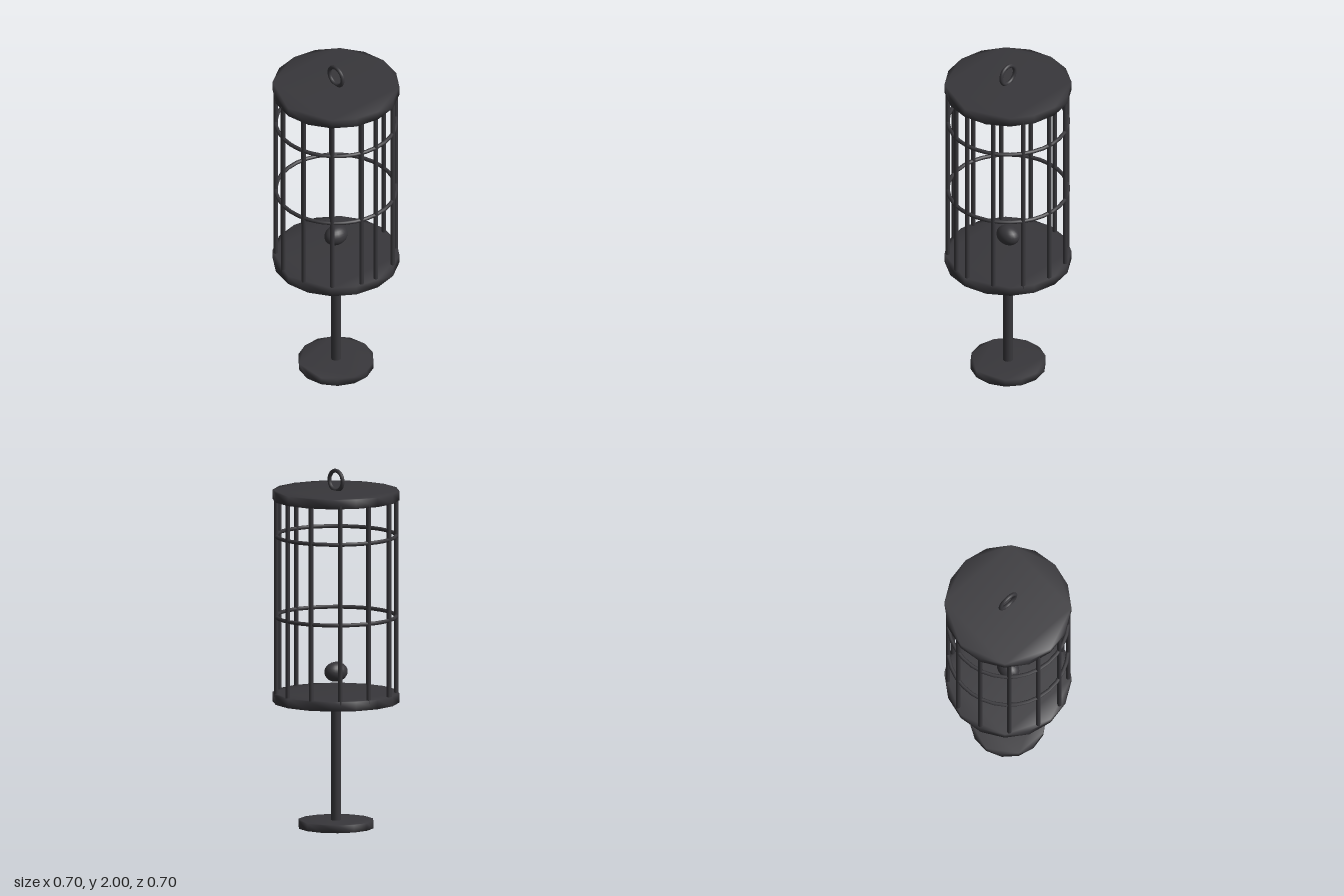
import * as THREE from 'three';
import { mergeVertices } from 'three/addons/utils/BufferGeometryUtils.js';

export function createModel() {
  const model = new THREE.Group();
  model.name = 'birdcage';
  const material = new THREE.MeshStandardMaterial({ color: 0x38373b });

  function add(name, geometry, x = 0, y = 0, z = 0, parent = model) {
    const mesh = new THREE.Mesh(geometry, material);
    mesh.name = name;
    mesh.position.set(x, y, z);
    parent.add(mesh);
    return mesh;
  }

  // Polygonal plate whose normals are shared between caps and rim
  function plate(radius, height, sides) {
    const points = Array.from({ length: sides }, (_, i) => {
      const a = Math.PI / 2 + (i / sides) * Math.PI * 2;
      return new THREE.Vector2(Math.cos(a) * radius, Math.sin(a) * radius);
    });
    let geometry = new THREE.ExtrudeGeometry(new THREE.Shape(points), { depth: height, bevelEnabled: false });
    geometry.deleteAttribute('uv');
    geometry.deleteAttribute('normal');
    geometry = mergeVertices(geometry, 1e-4);
    geometry.rotateX(-Math.PI / 2);
    geometry.computeVertexNormals();
    return geometry;
  }

  // Stand
  add('base', plate(0.21, 0.042, 14), 0, 0, 0);
  add('post', new THREE.CylinderGeometry(0.028, 0.028, 0.69, 12), 0, 0.375, 0);

  // Cage floor and roof
  add('cageFloor', plate(0.35, 0.052, 16), 0, 0.7, 0);
  add('cageRoof', plate(0.35, 0.052, 16), 0, 1.828, 0);

  // Upright bars, half a radian apart, leaving one narrower gap
  const cageRadius = 0.332;
  const bars = new THREE.Group();
  bars.name = 'bars';
  model.add(bars);
  const barGeometry = new THREE.CylinderGeometry(0.0125, 0.0125, 1.11, 10);
  for (let i = 0; i < 13; i++) {
    const a = i * 0.5;
    add('bar', barGeometry, Math.cos(a) * cageRadius, 1.29, -Math.sin(a) * cageRadius, bars);
  }

  // Horizontal hoops
  const hoopGeometry = new THREE.TorusGeometry(cageRadius, 0.011, 8, 32).rotateX(Math.PI / 2);
  add('lowerHoop', hoopGeometry, 0, 1.178, 0);
  add('upperHoop', hoopGeometry, 0, 1.628, 0);

  // Hanging ring on the roof
  add('hangingRing', new THREE.TorusGeometry(0.055, 0.011, 10, 28), 0, 1.934, 0);

  // Egg-shaped ball floating in the cage
  add('ball', new THREE.SphereGeometry(0.055, 20, 14), 0, 0.868, 0).scale.z = 1.29;

  return model;
}
